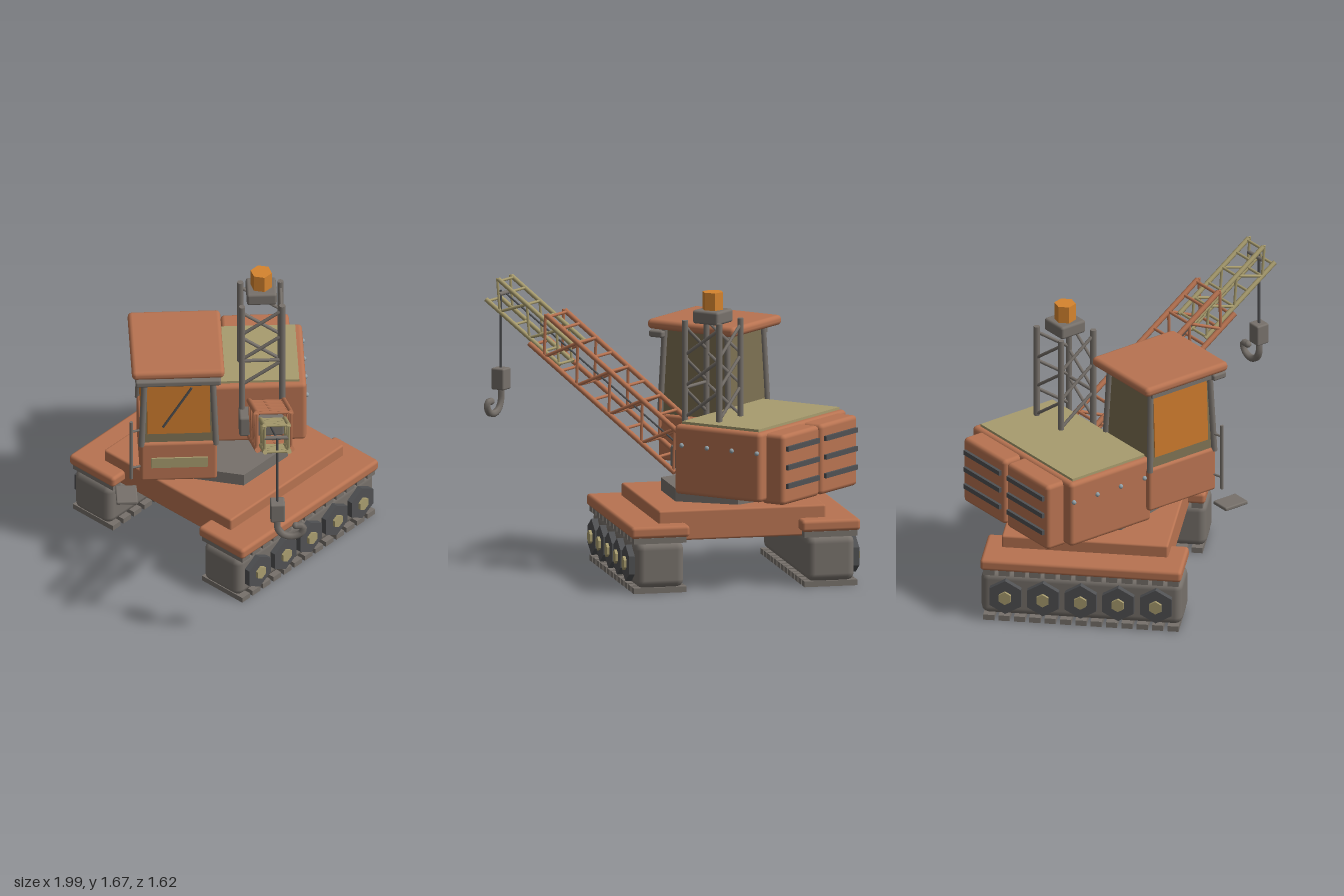
import * as THREE from 'three';
import { RoundedBoxGeometry } from 'three/addons/geometries/RoundedBoxGeometry.js';

const mat = (name, color, flatShading = false) => {
  const m = new THREE.MeshStandardMaterial({ color, flatShading });
  m.name = name;
  return m;
};

export function createModel() {
  const paint = mat('rust orange paint', 0xb87351);
  const steel = mat('grey steel', 0x77716b);
  const dark = mat('dark steel', 0x505153);
  const brass = mat('pale brass', 0xa89c6e);
  const panel = mat('olive cab panel', 0x7c7052);
  const glass = mat('amber glass', 0xc8782c);
  const lamp = mat('beacon orange', 0xd5842f);
  const bolt = mat('bright bolt', 0x93a1a8);

  const model = new THREE.Group();
  model.name = 'crawlerCrane';

  const add = (parent, name, geometry, material, x = 0, y = 0, z = 0) => {
    const m = new THREE.Mesh(geometry, material);
    m.name = name;
    m.position.set(x, y, z);
    parent.add(m);
    return m;
  };
  // Box given by its limits on each axis; r rounds the edges
  const box = (parent, name, material, [x0, x1], [y0, y1], [z0, z1], r = 0) => {
    const s = [x1 - x0, y1 - y0, z1 - z0];
    const g = r ? new RoundedBoxGeometry(...s, 2, r) : new THREE.BoxGeometry(...s);
    return add(parent, name, g, material, (x0 + x1) / 2, (y0 + y1) / 2, (z0 + z1) / 2);
  };
  // Round bar between two points
  const up = new THREE.Vector3(0, 1, 0);
  const bar = (parent, name, material, a, b, r, sides = 8) => {
    const p = new THREE.Vector3(...a), q = new THREE.Vector3(...b);
    const d = q.clone().sub(p);
    const m = add(parent, name, new THREE.CylinderGeometry(r, r, d.length(), sides), material);
    m.position.copy(p).add(q).multiplyScalar(0.5);
    m.quaternion.setFromUnitVectors(up, d.normalize());
    return m;
  };
  // Six-sided prism with crisp faces
  const hex = (r, h) => new THREE.CylinderGeometry(r, r, h, 6).toNonIndexed();
  const addHex = (parent, name, material, r, h, x, y, z) => {
    const g = hex(r, h);
    g.computeVertexNormals();
    return add(parent, name, g, material, x, y, z);
  };

  // ---- Undercarriage ----
  const base = new THREE.Group();
  base.name = 'undercarriage';
  base.position.set(-0.245, 0, -0.07);
  model.add(base);
  box(base, 'deck', paint, [-0.49, 0.49], [0.285, 0.46], [-0.48, 0.48], 0.012);
  addHex(base, 'turntable', steel, 0.375, 0.09, 0, 0.49, 0);

  for (const side of [-1, 1]) {
    const track = new THREE.Group();
    track.name = side > 0 ? 'leftTrack' : 'rightTrack';
    base.add(track);
    const cx = side * 0.5;
    box(track, 'trackBody', steel, [cx - 0.14, cx + 0.14], [0.03, 0.295], [-0.58, 0.58], 0.045);
    box(track, 'fender', paint, [cx - 0.172, cx + 0.172], [0.32, 0.388], [-0.58, 0.58], 0.02);
    for (let i = 0; i < 13; i++) {
      const z = (i - 6) * 0.0885;
      for (const y of [0, 0.287])
        box(track, 'trackPad', steel, [cx - 0.155, cx + 0.155], [y, y + 0.033], [z - 0.032, z + 0.032]);
    }
    for (let i = -2; i <= 2; i++) {
      const z = i * 0.217;
      addHex(track, 'roadWheel', dark, 0.105, 0.05, side * 0.65, 0.16, z).rotation.set(0, 0, Math.PI / 2);
      addHex(track, 'wheelHub', brass, 0.04, 0.05, side * 0.666, 0.16, z).rotation.set(0, 0, Math.PI / 2);
      track.children.slice(-2).forEach((w) => w.rotateY(Math.PI / 2));
    }
  }

  // ---- Slewing upper works ----
  const upper = new THREE.Group();
  upper.name = 'upperWorks';
  upper.position.copy(base.position);
  upper.rotation.y = Math.PI / 4;
  model.add(upper);

  box(upper, 'engineHouse', paint, [-0.47, 0.47], [0.525, 0.928], [-0.54, 0.04], 0.025);
  box(upper, 'houseTopPlate', brass, [-0.44, 0.43], [0.92, 0.943], [-0.505, 0.01]);
  for (const s of [-1, 1]) {
    box(upper, 'counterweight', paint, s < 0 ? [-0.4, -0.008] : [0.008, 0.4], [0.51, 0.918], [-0.655, -0.5], 0.025);
    for (const y of [0.62, 0.728, 0.836])
      box(upper, 'grilleSlat', dark, [s * 0.204 - 0.17, s * 0.204 + 0.17], [y - 0.014, y + 0.014], [-0.672, -0.645]);
    for (const z of [-0.52, -0.352, -0.185, -0.015])
      add(upper, 'bolt', new THREE.SphereGeometry(0.014, 8, 6), bolt, s * 0.474, 0.812, z);
  }
  box(upper, 'winchHousing', steel, [0.08, 0.34], [0.645, 0.78], [0.02, 0.15], 0.015);

  // ---- Cab ----
  const cab = new THREE.Group();
  cab.name = 'cab';
  cab.position.set(-0.28, 0, 0.24);
  upper.add(cab);
  box(cab, 'cabBase', paint, [-0.22, 0.22], [0.6, 0.87], [-0.24, 0.24], 0.018);
  const core = new THREE.BoxGeometry(0.41, 0.51, 0.45);
  const cp = core.attributes.position;
  for (let i = 0; i < cp.count; i++)
    if (cp.getY(i) > 0) {
      cp.setX(i, cp.getX(i) * 0.9);
      cp.setZ(i, cp.getZ(i) * 0.91);
    }
  core.computeVertexNormals();
  add(cab, 'cabShell', core, panel, 0, 1.115, 0);
  box(cab, 'roof', paint, [-0.27, 0.26], [1.362, 1.42], [-0.295, 0.293], 0.025);
  box(cab, 'visor', steel, [-0.25, 0.24], [1.312, 1.352], [0.2, 0.292], 0.012);
  box(cab, 'sideHeader', steel, [-0.225, -0.18], [1.32, 1.365], [-0.22, 0.22]);
  for (const x of [-1, 1])
    for (const z of [-1, 1])
      bar(cab, 'cornerPost', steel, [x * 0.213, 0.85, z * 0.23], [x * 0.192, 1.37, z * 0.21], 0.018);
  add(cab, 'frontWindow', new THREE.BoxGeometry(0.36, 0.38, 0.009), glass, 0, 1.12, 0.2165).rotation.x = -0.04;
  add(cab, 'sideWindow', new THREE.BoxGeometry(0.009, 0.38, 0.38), glass, -0.1965, 1.12, 0).rotation.z = -0.04;
  bar(cab, 'wiper', dark, [-0.09, 0.98, 0.23], [0.075, 1.25, 0.219], 0.007, 6);
  box(cab, 'frontPlate', brass, [-0.158, 0.165], [0.7, 0.768], [0.235, 0.249]);
  bar(cab, 'handrail', steel, [-0.272, 0.625, 0.24], [-0.272, 1.03, 0.24], 0.01);
  for (const y of [0.7, 0.96])
    bar(cab, 'handrailBracket', steel, [-0.272, y, 0.24], [-0.2, y, 0.22], 0.007, 6);
  box(cab, 'step', steel, [-0.362, -0.24], [0.525, 0.548], [0.2, 0.36], 0.008);

  // ---- Lattice mast with beacon ----
  const mast = new THREE.Group();
  mast.name = 'mast';
  mast.position.set(0.216, 0, -0.063);
  upper.add(mast);
  const ring = [[-1, -1], [1, -1], [1, 1], [-1, 1]].map(([x, z]) => [x * 0.115, z * 0.115]);
  ring.forEach(([x, z], i) => {
    const [x2, z2] = ring[(i + 1) % 4];
    bar(mast, 'mastPost', steel, [x, 0.78, z], [x, 1.51, z], 0.018);
    for (const y of [0.95, 1.13, 1.31])
      bar(mast, 'mastBrace', steel, [x2, y, z2], [x, y + 0.165, z], 0.01, 6);
  });
  bar(mast, 'mastRung', steel, [-0.115, 1.12, 0.115], [0.115, 1.12, 0.115], 0.01, 6);
  box(mast, 'mastCap', steel, [-0.086, 0.086], [1.49, 1.568], [-0.086, 0.086], 0.015);
  addHex(mast, 'beacon', lamp, 0.062, 0.11, 0, 1.615, 0).rotation.y = -Math.PI / 4;

  // ---- Lattice boom: local z runs along the boom ----
  const boom = new THREE.Group();
  boom.name = 'boom';
  boom.position.set(0.24, 0.61, 0.1);
  boom.rotation.x = -Math.atan2(0.67, 1);
  upper.add(boom);
  const lattice = (name, material, hw, y0, y1, z0, z1, bays, r) => {
    const g = new THREE.Group();
    g.name = name;
    boom.add(g);
    const step = (z1 - z0) / bays;
    for (const x of [-hw, hw])
      for (const y of [y0, y1]) bar(g, 'chord', material, [x, y, z0], [x, y, z1], r);
    for (let i = 0; i <= bays; i++) {
      const z = Math.min(z0 + i * step + 0.01, z1 - 0.015);
      for (const y of [y0, y1]) bar(g, 'rung', material, [-hw, y, z], [hw, y, z], r * 0.6, 6);
      if (i === bays) break;
      const [a, b] = i % 2 ? [y1, y0] : [y0, y1];
      for (const x of [-hw, hw])
        bar(g, 'lacing', material, [x, a, z], [x, b, z + step], r * 0.6, 6);
    }
  };
  lattice('lowerBoom', paint, 0.098, 0, 0.21, 0.02, 1.2, 9, 0.016);
  lattice('upperBoom', brass, 0.069, 0.012, 0.162, 0.98, 1.58, 5, 0.014);
  bar(boom, 'hoistCable', dark, [0, 0.1, 0.02], [0, 0.09, 1.53], 0.006, 6);
  bar(boom, 'tipSheave', steel, [-0.069, 0.09, 1.53], [0.069, 0.09, 1.53], 0.012, 8);

  // ---- Hook block ----
  const hook = new THREE.Group();
  hook.name = 'hookBlock';
  hook.position.set(0.244, 0, 1.347);
  upper.add(hook);
  bar(hook, 'dropCable', dark, [0, 1.08, 0], [0, 1.55, 0], 0.008, 6);
  box(hook, 'block', steel, [-0.042, 0.042], [0.975, 1.1], [-0.042, 0.042], 0.01);
  const path = new THREE.CatmullRomCurve3(
    [[0, 0.99], [0, 0.91], [0.03, 0.862], [0.085, 0.845], [0.137, 0.868], [0.147, 0.915], [0.105, 0.92]]
      .map(([x, y]) => new THREE.Vector3(x, y, 0)));
  add(hook, 'hook', new THREE.TubeGeometry(path, 20, 0.021, 6), steel);
  add(hook, 'hookTip', new THREE.SphereGeometry(0.021, 8, 6), steel, 0.105, 0.92, 0);

  return model;
}
